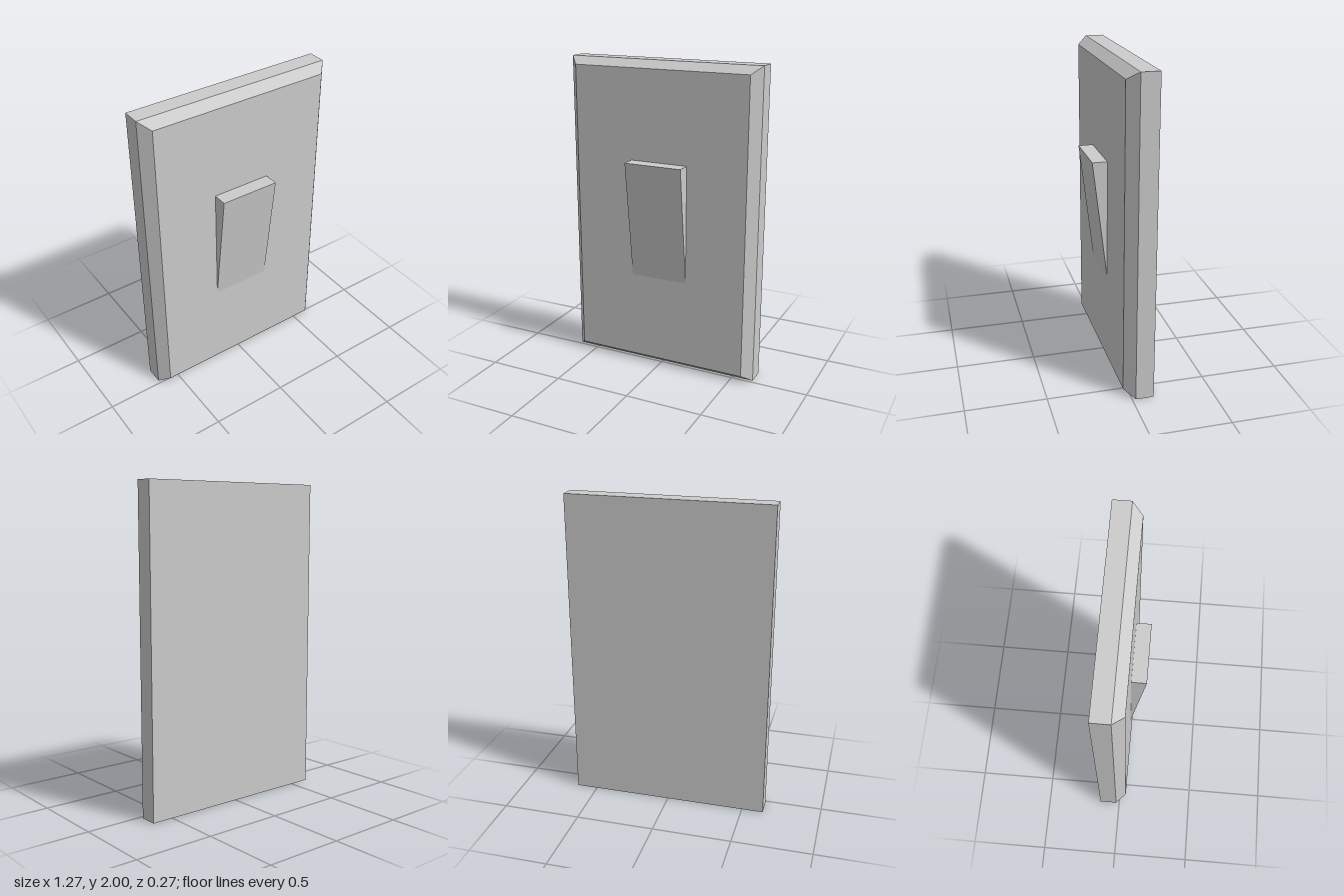
import * as THREE from 'three';

const W = 1.274, H = 2, BACK = -0.135, RIM = -0.022, FRONT = 0.043;

export function createModel() {
  const group = new THREE.Group();
  const material = new THREE.MeshStandardMaterial({ color: 0xcccccc, flatShading: true });

  // Wall plate: a box with two depth layers, the front one drawn in as a bevel
  const plateGeo = new THREE.BoxGeometry(W, H, 2, 1, 1, 2);
  const pos = plateGeo.attributes.position;
  for (let i = 0; i < pos.count; i++) {
    const x = pos.getX(i), y = pos.getY(i), layer = Math.round(pos.getZ(i)) + 1;
    const front = layer === 2;
    pos.setXYZ(
      i,
      Math.sign(x) * (W / 2 - (front ? 0.059 : 0)),
      H / 2 + Math.sign(y) * (H / 2 - (front ? 0.047 : 0)),
      [BACK, RIM, FRONT][layer]
    );
  }
  plateGeo.computeVertexNormals();
  const plate = new THREE.Mesh(plateGeo, material);
  plate.name = 'wallPlate';
  group.add(plate);

  // Rocker switch: a wedge profile (z, y) extruded across the width
  const width = 0.378;
  const profile = new THREE.Shape([
    new THREE.Vector2(FRONT, 0.615),
    new THREE.Vector2(0.135, 1.38),
    new THREE.Vector2(FRONT, 1.38),
  ]);
  const rockerGeo = new THREE.ExtrudeGeometry(profile, { depth: width, bevelEnabled: false });
  rockerGeo.rotateY(-Math.PI / 2).translate(width / 2 - 0.001, 0, 0);
  const rocker = new THREE.Mesh(rockerGeo, material);
  rocker.name = 'rockerSwitch';
  group.add(rocker);

  return group;
}
